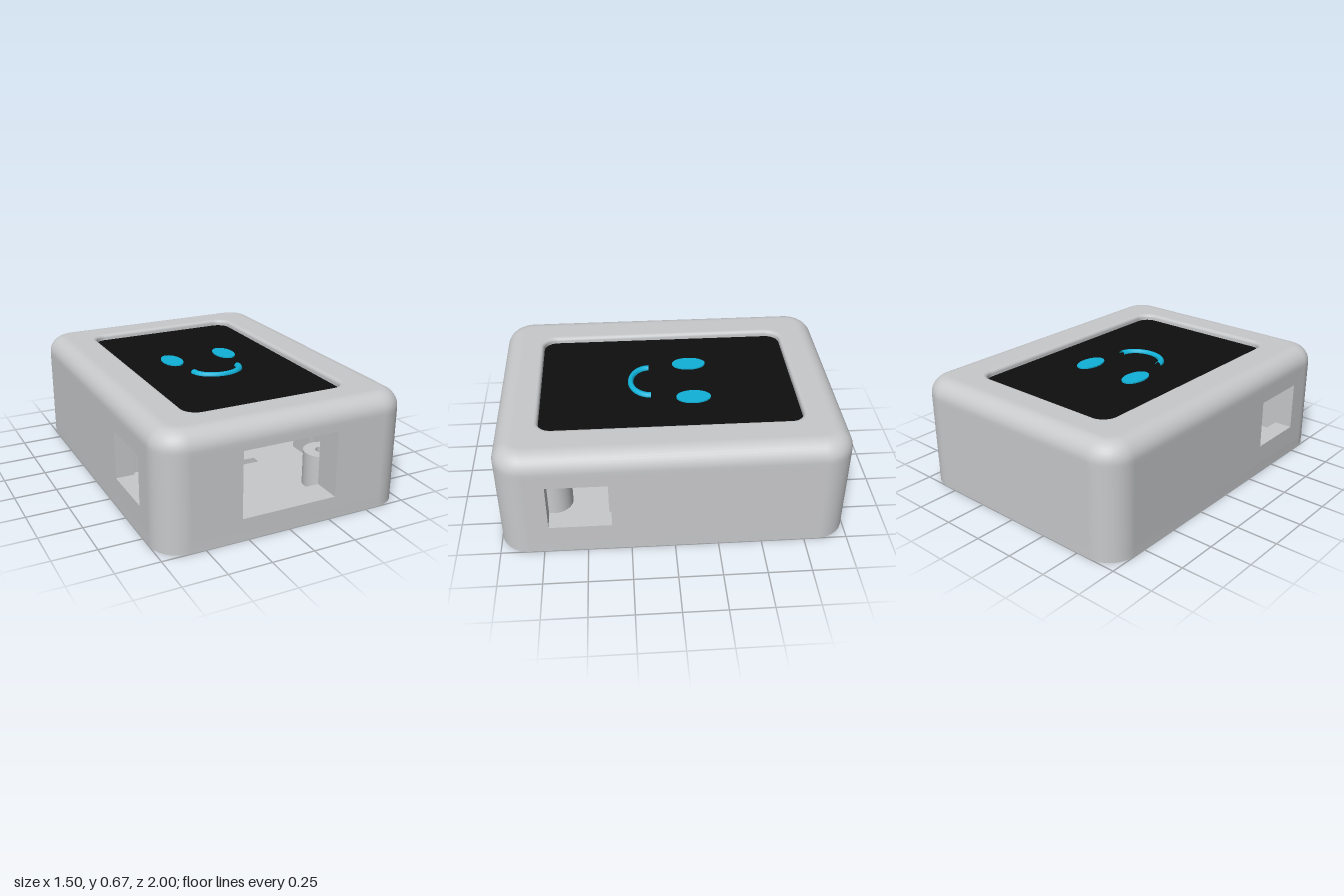
import * as THREE from 'three';
import { toCreasedNormals } from 'three/addons/utils/BufferGeometryUtils.js';

const HX = 0.75, HZ = 1, R = 0.17, SEG = 12;   // half width, half length, corner radius
const BASE = 0.06, WALL_TOP = 0.54, TOP = 0.67, FILLET = 0.105;

const shell = new THREE.MeshStandardMaterial({ color: 0xc8c9cb, side: THREE.DoubleSide });
shell.name = 'light grey shell';
const glass = new THREE.MeshStandardMaterial({ color: 0x0e0e0e });
glass.name = 'black screen';
const glow = new THREE.MeshStandardMaterial({ color: 0x10b2d8, side: THREE.DoubleSide });
glow.name = 'cyan face';

function rectPath(Type, x0, y0, x1, y1) {
  return new Type([[x0, y0], [x1, y0], [x1, y1], [x0, y1]].map(p => new THREE.Vector2(...p)));
}

function circlePath(Type, x, y, r) {
  const path = new Type();
  path.absarc(x, y, r, 0, Math.PI * 2, false);
  return path;
}

// Rounded rectangle as a loop of [x, z] points
function roundedLoop(hx, hz, r) {
  const points = [];
  [[1, 1], [-1, 1], [-1, -1], [1, -1]].forEach(([sx, sz], q) => {
    for (let i = 0; i <= SEG; i++) {
      const a = (q + i / SEG) * Math.PI / 2;
      points.push([sx * (hx - r) + r * Math.cos(a), sz * (hz - r) + r * Math.sin(a)]);
    }
  });
  return points;
}

function roundedShape(hx, hz, r) {
  return new THREE.Shape(roundedLoop(hx, hz, r).map(p => new THREE.Vector2(...p)));
}

function extrude(shape, depth) {
  const geo = new THREE.ExtrudeGeometry(shape, { depth, bevelEnabled: false, curveSegments: 24 });
  return toCreasedNormals(geo, 0.6);
}

// Extrude upward from height y; shape y becomes -z
function slab(shape, y, height) {
  return extrude(shape, height).rotateX(-Math.PI / 2).translate(0, y, 0);
}

// Skin through rounded rectangles [hx, hz, r, y]
function loft(rings) {
  const pos = [], index = [], n = 4 * (SEG + 1);
  for (const [hx, hz, r, y] of rings)
    for (const [x, z] of roundedLoop(hx, hz, r)) pos.push(x, y, z);
  for (let j = 0; j < rings.length - 1; j++)
    for (let i = 0; i < n; i++) {
      const k = (i + 1) % n;
      const a = j * n + i, b = a + n, c = j * n + k, d = c + n;
      index.push(a, b, c, b, d, c);
    }
  const geo = new THREE.BufferGeometry();
  geo.setAttribute('position', new THREE.Float32BufferAttribute(pos, 3));
  geo.setIndex(index);
  geo.computeVertexNormals();
  return geo;
}

export function createModel() {
  const model = new THREE.Group();
  model.name = 'desktopDisplay';
  const add = (name, geometry, material) => {
    const mesh = new THREE.Mesh(geometry, material);
    mesh.name = name;
    model.add(mesh);
    return mesh;
  };

  // Base plate with screw holes, vents and clip slots
  const base = roundedShape(HX, HZ, R);
  for (const sx of [-1, 1])
    for (const sz of [-1, 1]) {
      base.holes.push(circlePath(THREE.Path, sx * 0.39, sz * 0.7, 0.04));
      base.holes.push(rectPath(THREE.Path, sx * 0.565 - 0.017, sz * 0.283 - 0.095,
        sx * 0.565 + 0.017, sz * 0.283 + 0.095));
    }
  for (let i = 0; i < 4; i++) {
    const z = -0.397 + i * 0.22;
    base.holes.push(rectPath(THREE.Path, -0.2, -z - 0.03, 0.2, -z + 0.03));
  }
  add('basePlate', slab(base, 0, BASE), shell);

  // Front, back and side walls with port openings
  const wx = HX - R, wz = HZ - R;
  const front = rectPath(THREE.Shape, -wx, BASE, wx, WALL_TOP);
  front.holes.push(rectPath(THREE.Path, -0.288, 0.13, 0.285, 0.52));
  add('frontWall', extrude(front, R).translate(0, 0, wz), shell);
  add('backWall', extrude(rectPath(THREE.Shape, -wx, BASE, wx, WALL_TOP), R)
    .translate(0, 0, -HZ), shell);
  const side = rectPath(THREE.Shape, -wz, BASE, wz, WALL_TOP);
  side.holes.push(rectPath(THREE.Path, -0.715, 0.18, -0.358, 0.47));
  const sideGeo = extrude(side, 0.11).rotateY(Math.PI / 2);
  add('leftWall', sideGeo.clone().translate(HX - 0.11, 0, 0), shell);
  add('rightWall', sideGeo.clone().translate(-HX, 0, 0), shell);

  // Rounded vertical corners
  [[1, 1], [1, -1], [-1, -1], [-1, 1]].forEach(([sx, sz], q) => {
    const h = WALL_TOP - BASE;
    const geo = new THREE.CylinderGeometry(R, R, h, SEG, 1, false, q * Math.PI / 2, Math.PI / 2);
    add('corner', geo.translate(sx * wx, BASE + h / 2, sz * wz), shell);
  });

  // Filleted lid with the screen opening and its ceiling
  const rings = [[HX, HZ, R, WALL_TOP]];
  for (let i = 0; i <= 10; i++) {
    const a = i / 10 * Math.PI / 2, inset = FILLET * (1 - Math.cos(a));
    rings.push([HX - inset, HZ - inset, R - inset, TOP - FILLET * (1 - Math.sin(a))]);
  }
  rings.push([0.635, 0.885, 0.062, TOP], [0.51, 0.78, 0.1, TOP], [0.5, 0.77, 0.095, TOP],
    [0.492, 0.762, 0.09, 0.667], [0.485, 0.755, 0.085, 0.66], [0.482, 0.752, 0.08, 0.65],
    [0.482, 0.752, 0.08, 0.6], [0.482, 0.752, 0.08, WALL_TOP], [0.64, 0.84, 0.08, WALL_TOP]);
  add('lid', loft(rings), shell);

  // Screen with a smiling face
  add('screen', slab(roundedShape(0.484, 0.754, 0.08), 0.59, 0.045), glass);
  for (const s of [-1, 1]) {
    const eye = new THREE.CylinderGeometry(1, 1, 0.008, 40).scale(0.062, 1, 0.102);
    add('eye', eye.translate(s * 0.178, 0.639, -0.147), glow);
  }
  const mouth = new THREE.TorusGeometry(0.145, 0.021, 14, 40, Math.PI).rotateX(Math.PI / 2);
  add('mouth', mouth.scale(1, 1, 0.79).translate(0, 0.635, 0.103), glow);

  // Screw posts and snap clips inside
  for (const sx of [-1, 1])
    for (const sz of [-1, 1]) {
      const post = circlePath(THREE.Shape, sx * 0.39, sz * 0.7, 0.11);
      post.holes.push(circlePath(THREE.Path, sx * 0.39, sz * 0.7, 0.04));
      add('screwPost', slab(post, BASE, 0.21), shell);
      const clip = new THREE.BoxGeometry(0.035, 0.37, 0.18);
      add('clip', clip.translate(sx * 0.53, BASE + 0.185, sz * 0.283), shell);
      const hook = new THREE.BoxGeometry(0.05, 0.18, 0.18);
      add('clipHook', hook.translate(sx * 0.615, 0.29, sz * 0.283), shell);
    }
  return model;
}
